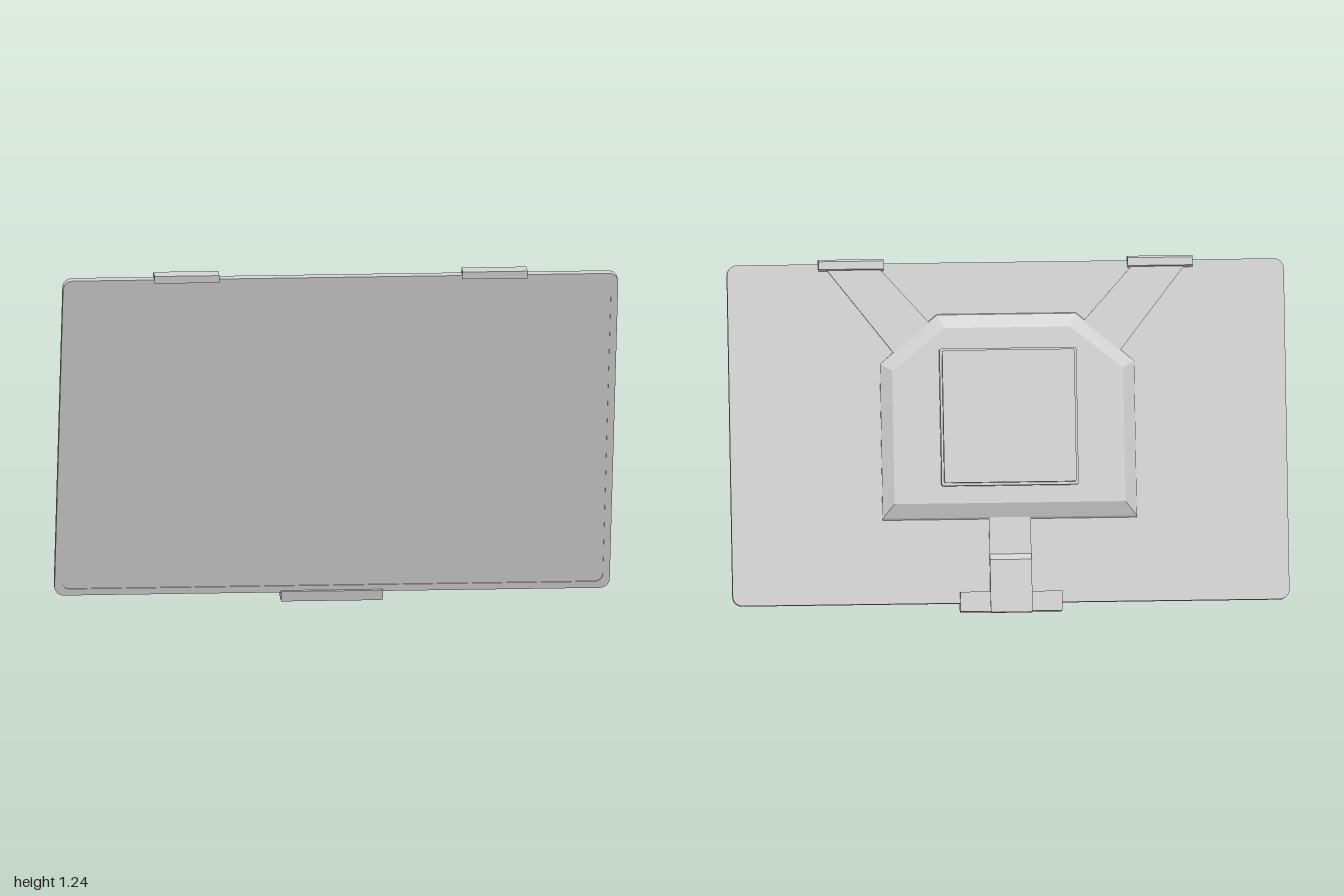
import * as THREE from 'three';
import { ConvexGeometry } from 'three/addons/geometries/ConvexGeometry.js';

const material = new THREE.MeshStandardMaterial({ color: 0xcccccc, flatShading: true });

function addMesh(parent, name, geometry) {
  const mesh = new THREE.Mesh(geometry, material);
  mesh.name = name;
  parent.add(mesh);
  return mesh;
}

function polygon(points) {
  return new THREE.Shape(points.map(([x, y]) => new THREE.Vector2(x, y)));
}

function roundedRect(w, h, r, target = new THREE.Shape()) {
  const x = w / 2, y = h / 2;
  target.moveTo(x, y - r);
  target.absarc(x - r, y - r, r, 0, Math.PI / 2);
  target.absarc(-x + r, y - r, r, Math.PI / 2, Math.PI);
  target.absarc(-x + r, -y + r, r, Math.PI, Math.PI * 1.5);
  target.absarc(x - r, -y + r, r, Math.PI * 1.5, Math.PI * 2);
  return target;
}

// Flat part lying parallel to the screen, from depth z0 to z1
function slab(shape, z0, z1) {
  return new THREE.ExtrudeGeometry(shape, { depth: z1 - z0, bevelEnabled: false, curveSegments: 6 })
    .translate(0, 0, z0);
}

// Side profile given as [height, depth] points, swept across x
function sweep(profile, x0, x1) {
  const shape = polygon(profile.map(([v, w]) => [-w, v]));
  return new THREE.ExtrudeGeometry(shape, { depth: x1 - x0, bevelEnabled: false })
    .rotateY(Math.PI / 2).translate(x0, 0, 0);
}

export function createModel() {
  const model = new THREE.Group();
  model.name = 'wallScreen';

  // Everything is built upright, then tipped forward
  const tilt = new THREE.Group();
  tilt.name = 'tiltedAssembly';
  tilt.position.set(0, 0.63, 0.02);
  tilt.rotation.x = THREE.MathUtils.degToRad(15);
  model.add(tilt);

  // Thin panel with a narrow raised rim around the screen
  addMesh(tilt, 'panel', slab(roundedRect(2, 1.224, 0.035), -0.022, 0.002));
  const rim = roundedRect(2, 1.224, 0.035);
  rim.holes.push(roundedRect(1.95, 1.174, 0.03, new THREE.Path()));
  addMesh(tilt, 'screenRim', slab(rim, 0.002, 0.006));

  // Mount plate: clipped upper corners and sloping edges
  const outline = (half, bottom, shoulder, topHalf, top, z) =>
    [[half, bottom], [half, shoulder], [topHalf, top]]
      .flatMap(([x, y]) => [new THREE.Vector3(x, y, z), new THREE.Vector3(-x, y, z)]);
  addMesh(tilt, 'mountPlate', new ConvexGeometry([
    ...outline(0.457, -0.313, 0.25, 0.25, 0.428, -0.02),
    ...outline(0.457, -0.305, 0.25, 0.25, 0.424, -0.028),
    ...outline(0.415, -0.255, 0.225, 0.225, 0.375, -0.052),
  ]));

  // Stepped box on the back of the plate
  addMesh(tilt, 'mountBoxBase', slab(roundedRect(0.492, 0.493, 0.008).clone(), -0.08, -0.045)).position.y = 0.053;
  addMesh(tilt, 'mountBoxCover', slab(roundedRect(0.475, 0.476, 0.008), -0.102, -0.08)).position.y = 0.054;

  // Upper arms and the clips hooked over the top edge
  const hook = [
    [0.627, 0.01], [0.627, -0.032], [0.62, -0.039], [0.592, -0.039],
    [0.585, -0.02], [0.612, -0.02], [0.612, 0.006], [0.6, 0.006], [0.6, 0.012],
  ];
  for (const side of [1, -1]) {
    const name = side > 0 ? 'left' : 'right';
    const arm = [[0.65, 0.6], [0.46, 0.6], [0.28, 0.4], [0.2, 0.3], [0.33, 0.2], [0.4, 0.28]];
    addMesh(tilt, name + 'UpperArm', slab(polygon(arm.map(([x, y]) => [x * side, y])), -0.03, -0.02));
    const x = side * 0.555;
    addMesh(tilt, name + 'TopClip', sweep(hook, x - 0.117, x + 0.117));
  }

  // Lower arm, stepping out towards the bottom clip
  addMesh(tilt, 'lowerArm', sweep([
    [-0.28, -0.02], [-0.28, -0.028], [-0.437, -0.028], [-0.458, -0.043],
    [-0.647, -0.043], [-0.647, -0.005], [-0.615, -0.005], [-0.615, -0.02],
  ], -0.075, 0.075));

  // Wide bottom clip cupping the lower edge
  addMesh(tilt, 'bottomClip', sweep([
    [-0.572, -0.02], [-0.572, -0.037], [-0.643, -0.037], [-0.643, 0.016],
    [-0.605, 0.016], [-0.605, 0.006], [-0.612, 0.006], [-0.612, -0.02],
  ], -0.183, 0.183));

  return model;
}
